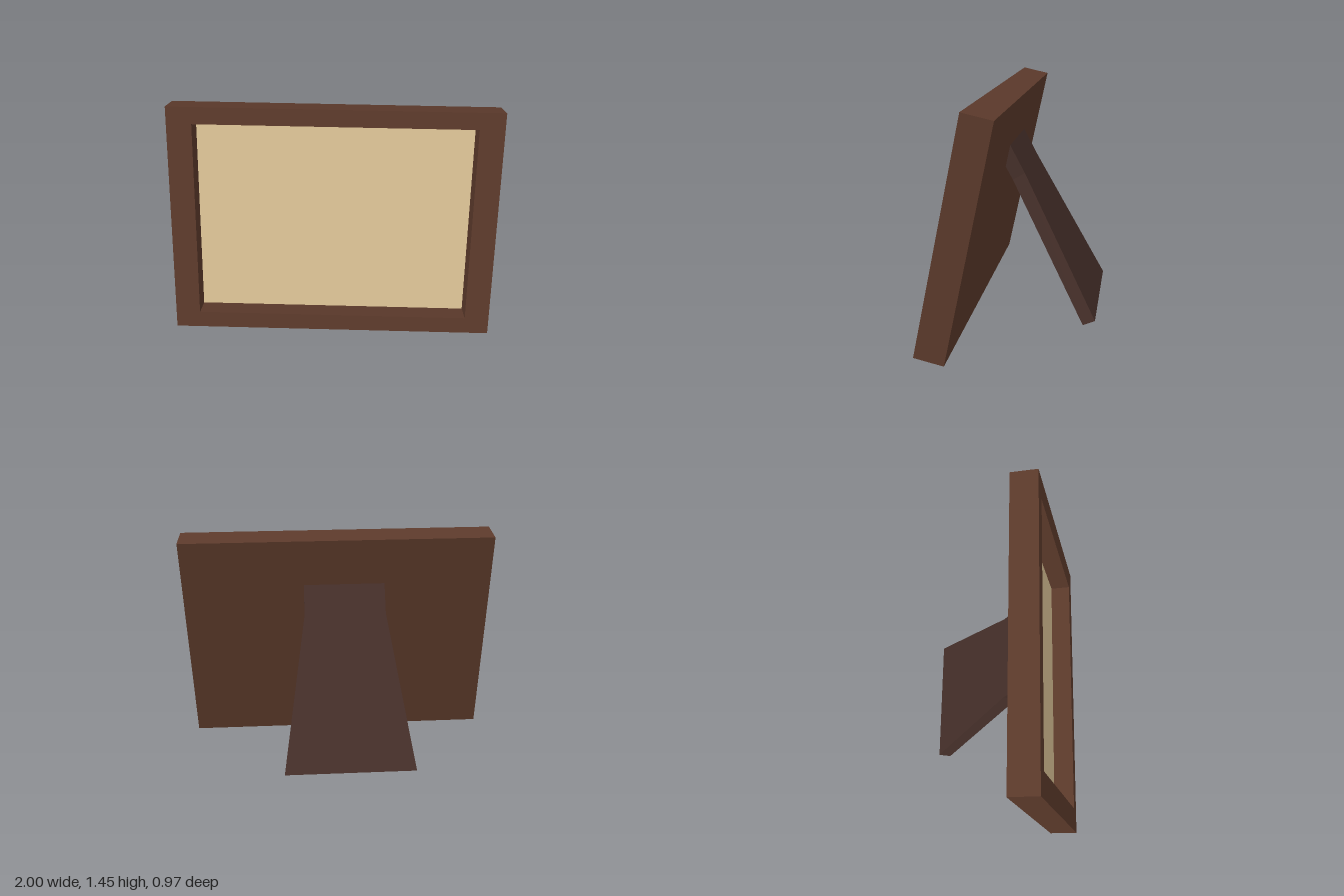
import * as THREE from 'three';

const WIDTH = 1.985, HEIGHT = 1.423, DEPTH = 0.18;
const OPEN_W = 1.685, OPEN_H = 1.219, RECESS = 0.138;

const wood = new THREE.MeshStandardMaterial({ color: 0x5c3a2b });
const darkWood = new THREE.MeshStandardMaterial({ color: 0x46302a });
const cream = new THREE.MeshStandardMaterial({ color: 0xdcc396 });

function add(parent, name, geometry, material, x = 0, y = 0, z = 0) {
  const mesh = new THREE.Mesh(geometry, material);
  mesh.name = name;
  mesh.position.set(x, y, z);
  parent.add(mesh);
  return mesh;
}

function rectangle(path, w, h) {
  return path.moveTo(-w / 2, -h / 2).lineTo(w / 2, -h / 2)
    .lineTo(w / 2, h / 2).lineTo(-w / 2, h / 2).closePath();
}

// Tapered leg: a box whose three rows of corners follow the given sections
function legGeometry() {
  const rows = [ // half width, back [y, z], front [y, z]
    { half: 0.41, back: [0.046, -0.485], front: [0.012, -0.41] },
    { half: 0.26, back: [0.935, -0.023], front: [0.89, 0.052] },
    { half: 0.26, back: [1.115, 0.071], front: [0.98, 0.101] },
  ];
  const geometry = new THREE.BoxGeometry(1, 1, 1, 1, 2, 1).toNonIndexed();
  const p = geometry.attributes.position;
  for (let i = 0; i < p.count; i++) {
    const row = rows[Math.round((p.getY(i) + 0.5) * 2)];
    const [y, z] = p.getZ(i) < 0 ? row.back : row.front;
    p.setXYZ(i, Math.sign(p.getX(i)) * row.half, y, z);
  }
  geometry.computeVertexNormals();
  return geometry;
}

export function createModel() {
  const model = new THREE.Group();
  model.name = 'pictureFrame';

  // Whole object leans very slightly to one side
  const lean = new THREE.Group();
  lean.name = 'leaningBody';
  lean.position.y = 0.726;
  lean.rotation.z = -0.0107;
  model.add(lean);

  // Frame, tilted back
  const frame = new THREE.Group();
  frame.name = 'frame';
  frame.position.z = 0.243;
  frame.rotation.x = THREE.MathUtils.degToRad(-12.4);
  lean.add(frame);

  const border = rectangle(new THREE.Shape(), WIDTH, HEIGHT);
  border.holes.push(rectangle(new THREE.Path(), OPEN_W, OPEN_H));
  const borderGeometry = new THREE.ExtrudeGeometry(border, { depth: RECESS, bevelEnabled: false });
  add(frame, 'border', borderGeometry, wood, 0, 0, DEPTH / 2 - RECESS);

  const boardDepth = DEPTH - RECESS;
  add(frame, 'backBoard', new THREE.BoxGeometry(WIDTH, HEIGHT, boardDepth), wood,
    0, 0, (boardDepth - DEPTH) / 2);

  add(frame, 'picturePanel', new THREE.PlaneGeometry(OPEN_W, OPEN_H), cream,
    0, 0, DEPTH / 2 - RECESS + 0.003);

  // Rear support leg
  add(lean, 'supportLeg', legGeometry(), darkWood, -0.042, -0.726, 0);

  return model;
}
